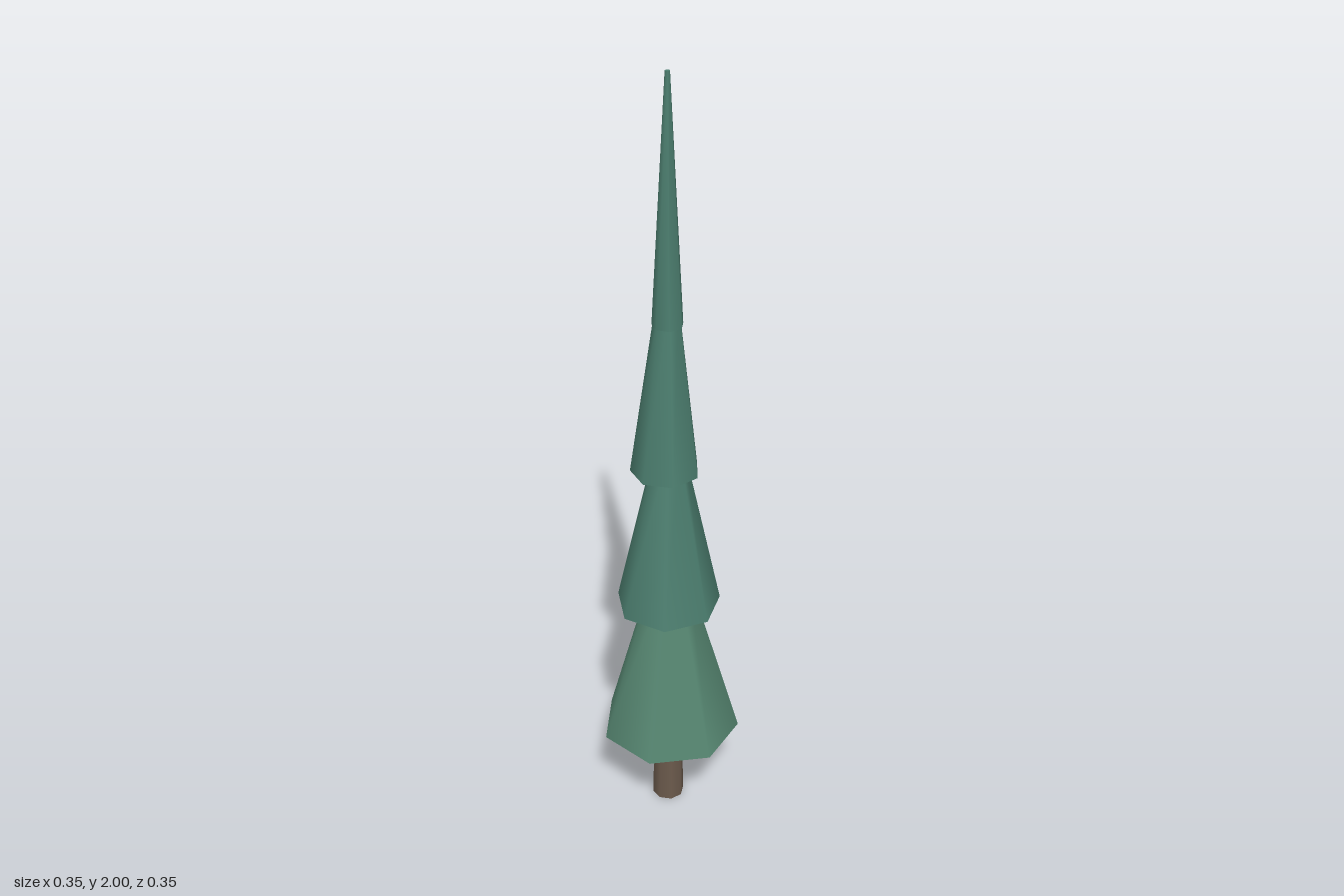
import * as THREE from 'three';

// Tapered column whose top centre may lean away from its base centre.
function taper(name, color, { sides, phase, y0, y1, r0, r1, base, top }) {
  const height = y1 - y0;
  const geometry = new THREE.CylinderGeometry(r1, r0, height, sides, 1, false, phase);
  geometry.translate(0, height / 2, 0);
  const p = geometry.attributes.position;
  for (let i = 0; i < p.count; i++) {
    const t = p.getY(i) / height;
    p.setX(i, p.getX(i) + THREE.MathUtils.lerp(base[0], top[0], t));
    p.setZ(i, p.getZ(i) + THREE.MathUtils.lerp(base[1], top[1], t));
  }
  geometry.translate(0, y0, 0);
  geometry.computeBoundingSphere();
  const mesh = new THREE.Mesh(geometry, new THREE.MeshStandardMaterial({ color }));
  mesh.name = name;
  return mesh;
}

export function createModel() {
  const tree = new THREE.Group();
  tree.name = 'coniferTree';

  // Trunk, running up inside the lowest tier
  tree.add(taper('trunk', 0x6b5a4c, {
    sides: 8, phase: 0.2, y0: 0, y1: 0.45, r0: 0.041, r1: 0.034,
    base: [-0.005, 0.01], top: [-0.005, 0.008],
  }));

  // Seven-sided foliage tiers, each turned a little and tucked into the next
  const tiers = [
    { phase: 0.493, y0: 0.235, y1: 0.7, r0: 0.18, r1: 0.048, base: [-0.003, 0.005], top: [-0.004, 0.005] },
    { phase: 0.72, y0: 0.62, y1: 1.08, r0: 0.133, r1: 0.034, base: [-0.01, 0.004], top: [-0.006, 0.004] },
    { phase: 0.115, y0: 1.005, y1: 1.47, r0: 0.086, r1: 0.026, base: [-0.018, 0.005], top: [-0.01, 0.004] },
    { phase: 0, y0: 1.4, y1: 2, r0: 0.038, r1: 0.006, base: [-0.009, 0.005], top: [-0.01, 0.004] },
  ];
  tiers.forEach((tier, i) => {
    const color = i === 0 ? 0x558570 : 0x4b7d6e;
    tree.add(taper(`foliageTier${i + 1}`, color, { sides: 7, ...tier }));
  });

  return tree;
}
